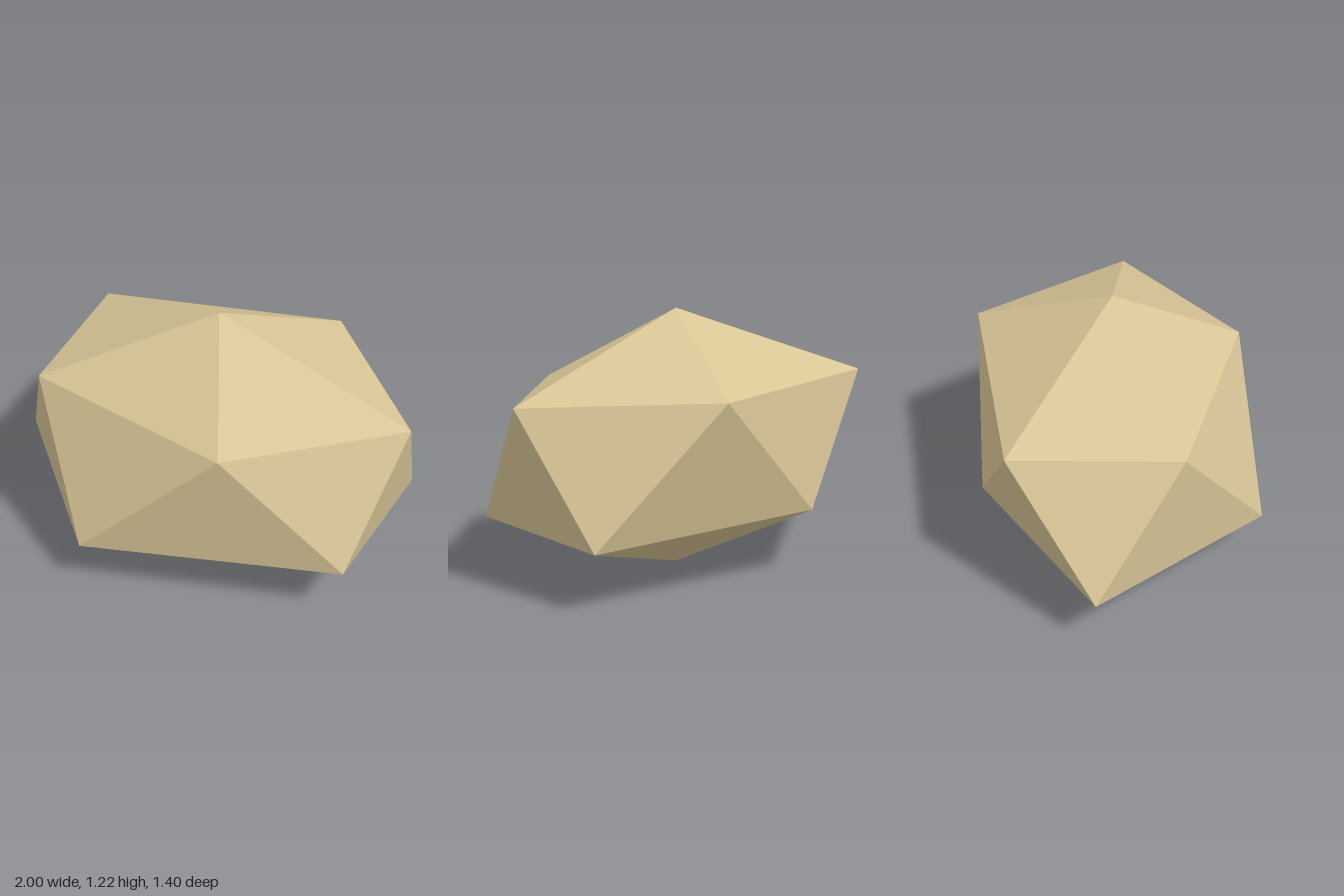
import * as THREE from 'three';

// Irregular twenty-sided stone: two poles and two staggered rings of five corners
export function createModel() {
  const top = [0.055, 1.215, -0.025];
  const bottom = [0.055, 0, -0.025];
  const upper = [
    [1.0, 0.863, -0.028], [0.345, 0.86, 0.567], [-0.703, 0.86, 0.338],
    [-0.775, 0.886, -0.43], [0.38, 0.898, -0.7],
  ];
  const lower = [
    [0.875, 0.291, 0.37], [-0.3, 0.255, 0.7], [-1.0, 0.282, -0.03],
    [-0.24, 0.313, -0.625], [0.9, 0.284, -0.437],
  ];

  // Cap, band and base triangles, five times around
  const corners = [];
  for (let i = 0; i < 5; i++) {
    const j = (i + 1) % 5;
    corners.push(
      top, upper[j], upper[i],
      upper[i], upper[j], lower[i],
      lower[i], upper[j], lower[j],
      bottom, lower[i], lower[j],
    );
  }
  const geometry = new THREE.BufferGeometry();
  geometry.setAttribute('position', new THREE.Float32BufferAttribute(corners.flat(), 3));
  geometry.computeVertexNormals();

  const sandstone = new THREE.MeshStandardMaterial({ color: 0xd8c596 });
  sandstone.name = 'sandstone';
  sandstone.flatShading = true;

  const rock = new THREE.Mesh(geometry, sandstone);
  rock.name = 'rock';
  const group = new THREE.Group();
  group.name = 'rockModel';
  group.add(rock);
  return group;
}
